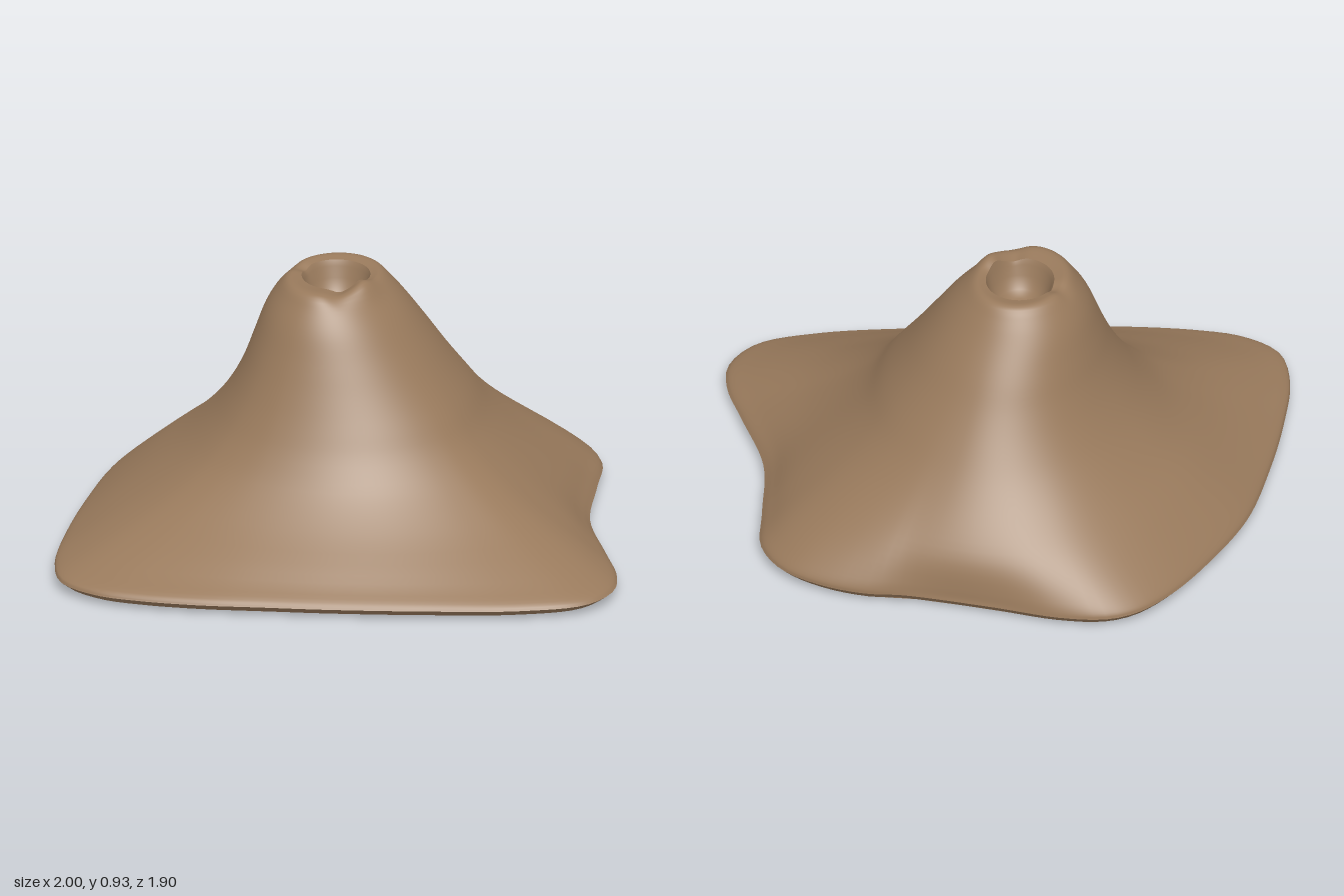
import * as THREE from 'three';

const CX = -0.19, CZ = -0.12; // vent position
const N = 144, TEETH = 36;

// Ground outline (x, z), clockwise seen from above
const outline = [
  [-0.8, -0.72], [-0.65, -0.78], [-0.4, -0.825], [-0.1, -0.89], [0.02, -0.935], [0.18, -0.955],
  [0.34, -0.93], [0.46, -0.84], [0.54, -0.66], [0.65, -0.41], [0.83, -0.2], [0.95, -0.06],
  [1, 0.06], [0.97, 0.2], [0.8, 0.35], [0.5, 0.52], [0.2, 0.67], [0, 0.76], [-0.2, 0.85],
  [-0.4, 0.92], [-0.55, 0.95], [-0.7, 0.92], [-0.8, 0.79], [-0.88, 0.57], [-0.95, 0.3],
  [-1, 0], [-0.98, -0.3], [-0.94, -0.5], [-0.88, -0.64],
];
const rim = new THREE.CatmullRomCurve3(outline.map(([x, z]) => new THREE.Vector3(x - CX, 0, z - CZ)), true)
  .getSpacedPoints(N).slice(0, N);

// Largest reach of a loop of points east, south, west and north
const reach = (pts) => [
  Math.max(...pts.map((p) => p[0])), Math.max(...pts.map((p) => p[1])),
  -Math.min(...pts.map((p) => p[0])), -Math.min(...pts.map((p) => p[1])),
];
const fit = (pts, from, to) => pts.map(([x, z]) => [
  x * (x > 0 ? to[0] / from[0] : to[2] / from[2]),
  z * (z > 0 ? to[1] / from[1] : to[3] / from[3]),
]);
const angles = rim.map((p) => Math.atan2(p.z, p.x));
const base = rim.map((p) => [p.x, p.z]);
const baseReach = reach(base);
const unitBase = fit(base, baseReach, [1, 1, 1, 1]);

// One contour: w blends from a circle to the ground outline
function contour([e, s, w4, n], y, w) {
  const mix = unitBase.map(([x, z], i) => [
    THREE.MathUtils.lerp(Math.cos(angles[i]), x, w),
    THREE.MathUtils.lerp(Math.sin(angles[i]), z, w),
  ]);
  return fit(mix, reach(mix), [e, s, w4, n]).map(([x, z], i) => {
    // small bump and notches on the crater lip
    const near = (a, k) => Math.exp(-((Math.atan2(Math.sin(angles[i] - a), Math.cos(angles[i] - a)) / k) ** 2));
    const lip = Math.exp(-(((y - 0.915) / 0.03) ** 2));
    const dy = lip * (0.018 * near(0.3, 0.25) - 0.012 * near(0.95, 0.25) - 0.012 * near(3.1, 0.2));
    return [CX + x, y + dy, CZ + z];
  });
}

// Skin a series of contours, from the inside outwards
function skin(name, rings, material) {
  const index = [];
  for (let r = 0; r < rings.length - 1; r++) {
    for (let i = 0; i < N; i++) {
      const a = r * N + i, c = r * N + ((i + 1) % N);
      index.push(a, c, a + N, c, c + N, a + N);
    }
  }
  const g = new THREE.BufferGeometry();
  g.setAttribute('position', new THREE.Float32BufferAttribute(rings.flat(2), 3));
  g.setIndex(index);
  g.computeVertexNormals();
  const mesh = new THREE.Mesh(g, material);
  mesh.name = name;
  return mesh;
}

export function createModel() {
  const group = new THREE.Group();
  group.name = 'volcano';
  const rock = new THREE.MeshStandardMaterial({ color: 0x997a5c, side: THREE.DoubleSide });
  rock.name = 'brown rock';

  // Slopes: reach east, south, west, north, then height and outline blend
  const levels = [
    [0.115, 0.125, 0.12, 0.12, 0.91, 0],
    [0.15, 0.195, 0.16, 0.17, 0.914, 0],
    [0.2, 0.235, 0.2, 0.21, 0.87, 0],
    [0.26, 0.28, 0.24, 0.26, 0.8, 0.01],
    [0.33, 0.325, 0.275, 0.33, 0.7, 0.02],
    [0.4, 0.37, 0.31, 0.395, 0.6, 0.04],
    [0.475, 0.42, 0.36, 0.465, 0.5, 0.07],
    [0.55, 0.48, 0.43, 0.54, 0.4, 0.13],
    [0.67, 0.565, 0.525, 0.625, 0.3, 0.26],
    [0.84, 0.71, 0.645, 0.72, 0.2, 0.5],
    [1.06, 0.93, 0.755, 0.8, 0.105, 0.86],
    [1.165, 1.05, 0.8, 0.83, 0.062, 1],
    [...baseReach, 0.042, 1],
  ];
  const curveA = new THREE.CatmullRomCurve3(levels.map((l) => new THREE.Vector3(l[0], l[1], l[4])), false, 'catmullrom');
  const curveB = new THREE.CatmullRomCurve3(levels.map((l) => new THREE.Vector3(l[2], l[3], l[5])), false, 'catmullrom');
  const steps = (levels.length - 1) * 4;
  const slopes = [];
  for (let k = 0; k <= steps; k++) {
    const a = curveA.getPoint(k / steps), b = curveB.getPoint(k / steps);
    slopes.push(contour([a.x, a.y, b.x, b.y], a.z, b.z));
  }
  group.add(skin('slopes', slopes, rock));

  // Crater bowl
  const bowl = [[0.001, 0.785], [0.05, 0.788], [0.08, 0.805], [0.1, 0.85], [0.11, 0.89]]
    .map(([r, y]) => contour([r, r * 1.05, r, r], y, 0));
  group.add(skin('crater', [...bowl, slopes[0]], rock));

  // Turned-under edge
  const scaled = (f, y) => contour(baseReach.map((v) => v * f), y, 1);
  const edge = scaled(0.975, 0.018);
  group.add(skin('baseEdge', [scaled(1, 0.042), edge], rock));

  // Jagged teeth reaching inwards under the edge
  const middle = scaled(0.92, 0.002), tips = scaled(0.8, 0.02);
  const per = N / TEETH, pos = [];
  for (let i = 0; i < N; i += per) {
    const [a, b, c, d] = [edge[i], edge[(i + per) % N], middle[i + per - 1], middle[i]];
    const [e, f] = [tips[i + 2], tips[i + 1]];
    pos.push(...a, ...b, ...c, ...a, ...c, ...d, ...d, ...c, ...e, ...d, ...e, ...f);
  }
  const teeth = new THREE.BufferGeometry();
  teeth.setAttribute('position', new THREE.Float32BufferAttribute(pos, 3));
  teeth.computeVertexNormals();
  const teethMesh = new THREE.Mesh(teeth, rock);
  teethMesh.name = 'baseTeeth';
  group.add(teethMesh);

  return group;
}
